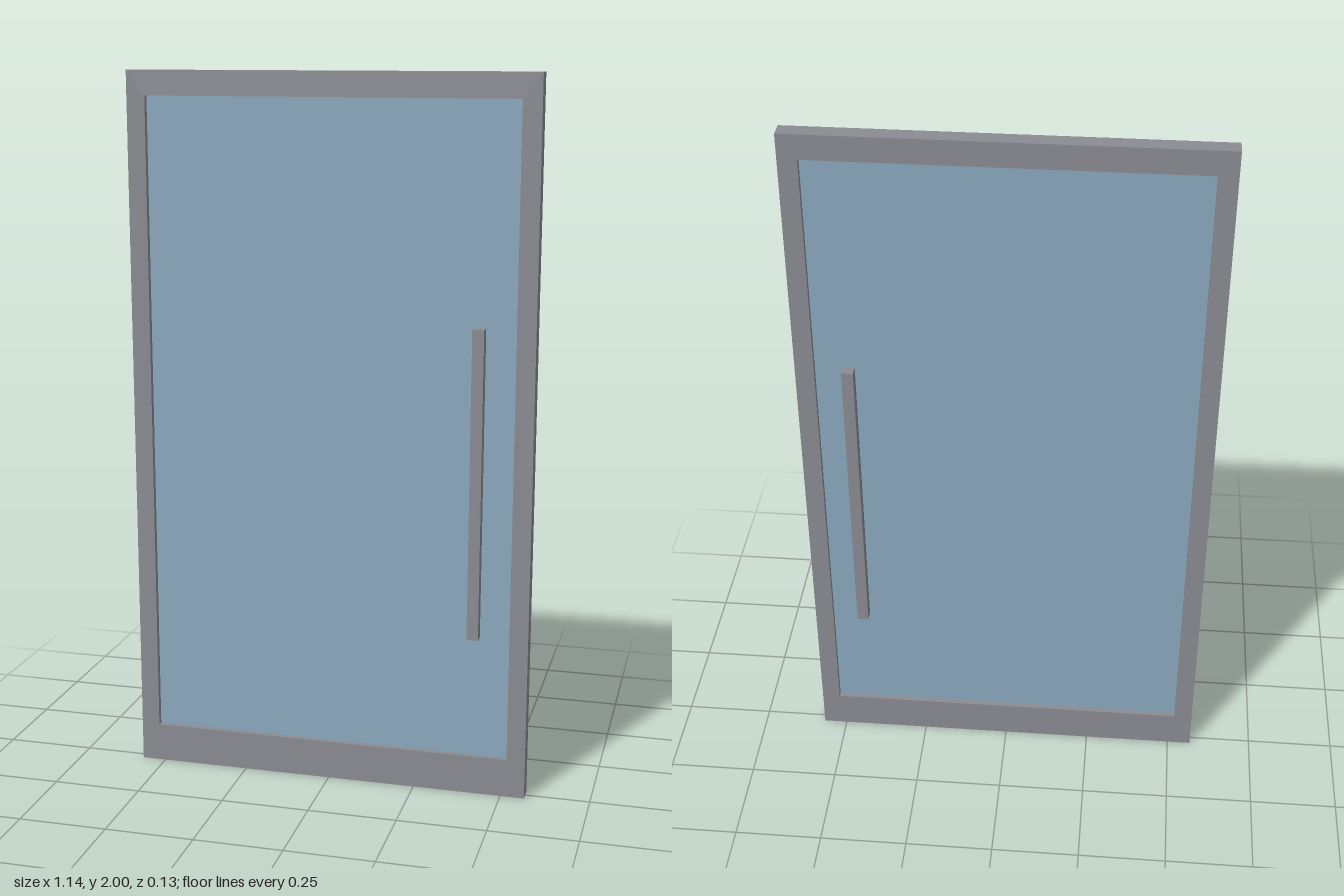
import * as THREE from 'three';

const WIDTH = 1.136, HEIGHT = 2, DEPTH = 0.048;
const OPEN_X = 0.516, OPEN_BOTTOM = 0.11, OPEN_TOP = 1.932;

// Rectangle outline, used for the frame and its opening
function rect(target, x0, y0, x1, y1) {
  target.moveTo(x0, y0);
  target.lineTo(x1, y0);
  target.lineTo(x1, y1);
  target.lineTo(x0, y1);
  target.closePath();
  return target;
}

export function createModel() {
  const metal = new THREE.MeshStandardMaterial({ color: 0x8b8c92 });
  metal.name = 'grey metal';
  const glass = new THREE.MeshStandardMaterial({ color: 0x8ba9be });
  glass.name = 'blue glass';

  const door = new THREE.Group();
  door.name = 'glassDoor';
  const add = (name, geometry, material, x = 0, y = 0, z = 0) => {
    const mesh = new THREE.Mesh(geometry, material);
    mesh.name = name;
    mesh.position.set(x, y, z);
    door.add(mesh);
  };

  // Frame with a taller bottom rail
  const outline = rect(new THREE.Shape(), -WIDTH / 2, 0, WIDTH / 2, HEIGHT);
  outline.holes.push(rect(new THREE.Path(), -OPEN_X, OPEN_BOTTOM, OPEN_X, OPEN_TOP));
  const frame = new THREE.ExtrudeGeometry(outline, { depth: DEPTH, bevelEnabled: false });
  add('frame', frame, metal, 0, 0, -DEPTH / 2);

  // Recessed glass pane
  const pane = new THREE.BoxGeometry(OPEN_X * 2, OPEN_TOP - OPEN_BOTTOM, 0.016);
  add('glassPane', pane, glass, 0, (OPEN_TOP + OPEN_BOTTOM) / 2, 0);

  // Square pull bars, standing just clear of both faces
  const bar = new THREE.BoxGeometry(0.032, 0.864, 0.032);
  for (const [name, side] of [['frontHandle', 1], ['backHandle', -1]]) {
    add(name, bar, metal, 0.419, 0.902, side * 0.049);
  }

  return door;
}
